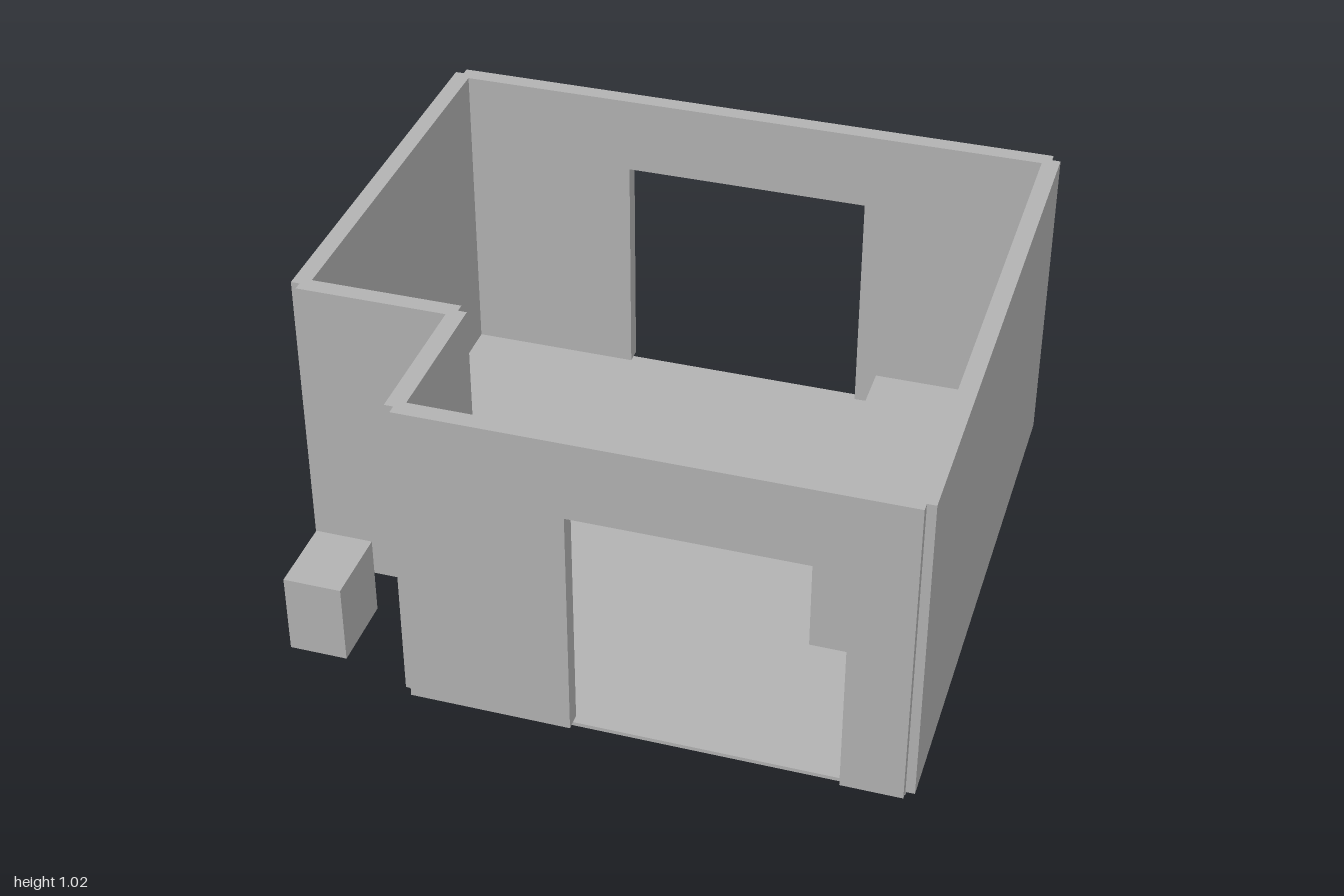
import * as THREE from 'three';

const T = 0.054;       // wall thickness
const BASE = 0.012;    // floor slab thickness
const TOP = 1.02;      // top of the walls
const DOOR_TOP = 0.77; // top of the openings

export function createModel() {
  const model = new THREE.Group();
  model.name = 'roomShell';
  const grey = new THREE.MeshStandardMaterial({ color: 0xb2b2b2 });
  grey.name = 'plainGrey';

  function add(name, geometry) {
    const mesh = new THREE.Mesh(geometry, grey);
    mesh.name = name;
    model.add(mesh);
  }

  function box(name, x0, x1, y0, y1, z0, z1) {
    const g = new THREE.BoxGeometry(x1 - x0, y1 - y0, z1 - z0);
    g.translate((x0 + x1) / 2, (y0 + y1) / 2, (z0 + z1) / 2);
    add(name, g);
  }

  // Wall along x, with an optional doorway [from, to] open down to the floor
  function wallX(name, x0, x1, z, door) {
    const pts = [[x0, BASE]];
    if (door) pts.push([door[0], BASE], [door[0], DOOR_TOP], [door[1], DOOR_TOP], [door[1], BASE]);
    pts.push([x1, BASE], [x1, TOP], [x0, TOP]);
    const shape = new THREE.Shape(pts.map(([x, y]) => new THREE.Vector2(x, y)));
    const g = new THREE.ExtrudeGeometry(shape, { depth: T, bevelEnabled: false });
    g.translate(0, 0, z - T / 2);
    add(name, g);
  }

  // Wall along z
  const wallZ = (name, x, z0, z1) => box(name, x - T / 2, x + T / 2, BASE, TOP, z0, z1);

  // Wall centre lines of the L-shaped plan
  const X = 0.972, Z = 0.91, NX = -0.486, NZ = 0.422;

  // Floor slab reaching to the wall centre lines
  const plan = [[-X, -Z], [X, -Z], [X, Z], [NX, Z], [NX, NZ], [-X, NZ]];
  const floorShape = new THREE.Shape(plan.map(([x, z]) => new THREE.Vector2(x, -z)));
  const floor = new THREE.ExtrudeGeometry(floorShape, { depth: BASE, bevelEnabled: false });
  floor.rotateX(-Math.PI / 2);
  add('floor', floor);

  // Walls meet at their centre lines, leaving small notches at the corners
  wallX('backWall', -X, X, -Z, [-0.395, 0.395]);
  wallX('frontWall', NX, X, Z, [0, 0.79]);
  wallX('recessFrontWall', -X, NX, NZ);
  wallZ('leftWall', X, -Z, Z);
  wallZ('rightWall', -X, -Z, NZ);
  wallZ('recessSideWall', NX, NZ, Z);

  // Block inside the room and small block in the outside recess
  box('counter', 0.562, 0.888, BASE, 0.47, -0.39, 0.385);
  box('outsideUnit', -0.905, -0.727, BASE, 0.27, 0.605, 0.845);

  return model;
}
